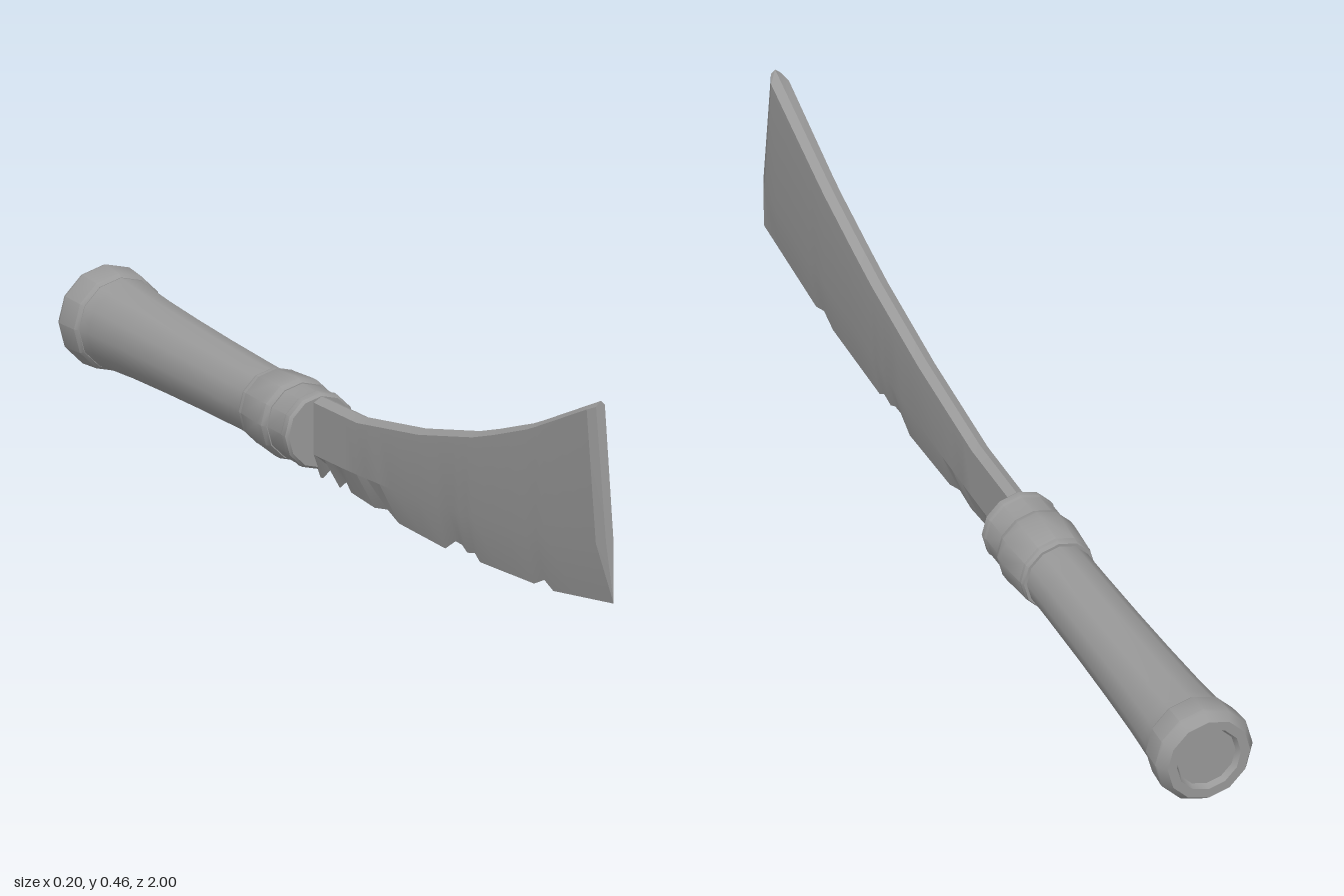
import * as THREE from 'three';
import { toCreasedNormals } from 'three/addons/utils/BufferGeometryUtils.js';

// Linear lookup in a list of [z, y] points ordered by z
function lookup(points, z) {
  for (let i = 1; i < points.length; i++) {
    const [z0, y0] = points[i - 1], [z1, y1] = points[i];
    if (z <= z1) return y0 + (y1 - y0) * Math.max(0, (z - z0) / (z1 - z0));
  }
  return points[points.length - 1][1];
}

// Blade outlines as [z, y]: spine, start of the grind, and chipped cutting edge
const spine = [[-0.15, 0.172], [0.03, 0.178], [0.27, 0.22], [0.5, 0.277], [0.7, 0.348], [0.95, 0.459]];
const grind = [[-0.15, 0.06], [0, 0.065], [0.25, 0.08], [0.5, 0.108], [0.75, 0.145], [1, 0.19]];
const edge = [
  [-0.14, 0.012], [-0.13, 0.014], [-0.095, 0.042], [-0.065, 0.012], [-0.04, 0.03], [-0.02, 0.015],
  [0.07, 0.01], [0.12, 0.02], [0.165, 0.005], [0.345, 0.005], [0.385, 0.03], [0.41, 0.03],
  [0.43, 0.02], [0.46, 0.027], [0.48, 0.015], [0.69, 0.03], [0.73, 0.048], [0.765, 0.036], [1, 0.075],
];

function bladeGeometry() {
  const stations = [...edge.map(p => p[0]), 0.03, 0.27, 0.56, 0.62, 0.85, 0.92, 0.975].sort((a, b) => a - b);
  const pos = [], index = [], N = 6;
  stations.forEach((s, i) => {
    const k = Math.max(0, (s - 0.72) / 0.28); // the end of the blade slants back
    const w = s === 1 ? 0.008 : 0.017;
    const top = lookup(spine, s - 0.05 * k), low = lookup(edge, s), mid = lookup(grind, s);
    const ring = [[0, low], [w, mid], [w, top - 0.008], [0, top], [-w - 0.003 * k, top - 0.01], [-w, mid]];
    for (const [x, y] of ring) pos.push(x, y, s - 0.05 * k * (y - low) / (top - low));
    if (i === 0) return;
    for (let j = 0; j < N; j++) {
      const a = (i - 1) * N + j, b = (i - 1) * N + (j + 1) % N;
      index.push(a, b, b + N, a, b + N, a + N);
    }
  });
  // End caps
  const last = (stations.length - 1) * N;
  for (let j = 1; j < N - 1; j++) index.push(0, j + 1, j, last, last + j, last + j + 1);
  const g = new THREE.BufferGeometry();
  g.setAttribute('position', new THREE.Float32BufferAttribute(pos, 3));
  g.setIndex(index);
  return toCreasedNormals(g, 0.3);
}

// Twelve-sided turned part along z from [radius, z] points
function turned(profile) {
  const g = new THREE.LatheGeometry(profile.map(([r, z]) => new THREE.Vector2(r, z)), 12);
  g.rotateX(Math.PI / 2);
  g.translate(0, 0.103, 0);
  return toCreasedNormals(g, 0.6);
}

export function createModel() {
  const model = new THREE.Group();
  const steel = new THREE.MeshStandardMaterial({ color: 0x999999 });
  steel.name = 'grey steel';
  const add = (name, geometry) => {
    const mesh = new THREE.Mesh(geometry, steel);
    mesh.name = name;
    model.add(mesh);
  };

  add('blade', bladeGeometry());

  // Pommel with a recessed end
  add('pommel', turned([
    [0, -0.988], [0.06, -0.988], [0.066, -1], [0.085, -1], [0.098, -0.982],
    [0.1, -0.975], [0.096, -0.925], [0.09, -0.917], [0.07, -0.917],
  ]));

  // Grip flaring towards the pommel
  add('grip', turned([
    [0.09, -0.925], [0.086, -0.89], [0.08, -0.8], [0.075, -0.68],
    [0.071, -0.55], [0.068, -0.4], [0.067, -0.31],
  ]));

  // Collar of stepped bands at the blade
  add('collar', turned([
    [0.06, -0.328], [0.073, -0.328], [0.076, -0.32], [0.074, -0.25], [0.074, -0.245],
  ]));
  add('collarBand', turned([
    [0.072, -0.318], [0.076, -0.312], [0.081, -0.245], [0.081, -0.225], [0.076, -0.212], [0.07, -0.212],
  ]));
  add('ferrule', turned([
    [0.074, -0.225], [0.074, -0.16], [0.076, -0.155], [0.075, -0.142], [0.07, -0.136], [0, -0.136],
  ]));
  return model;
}
